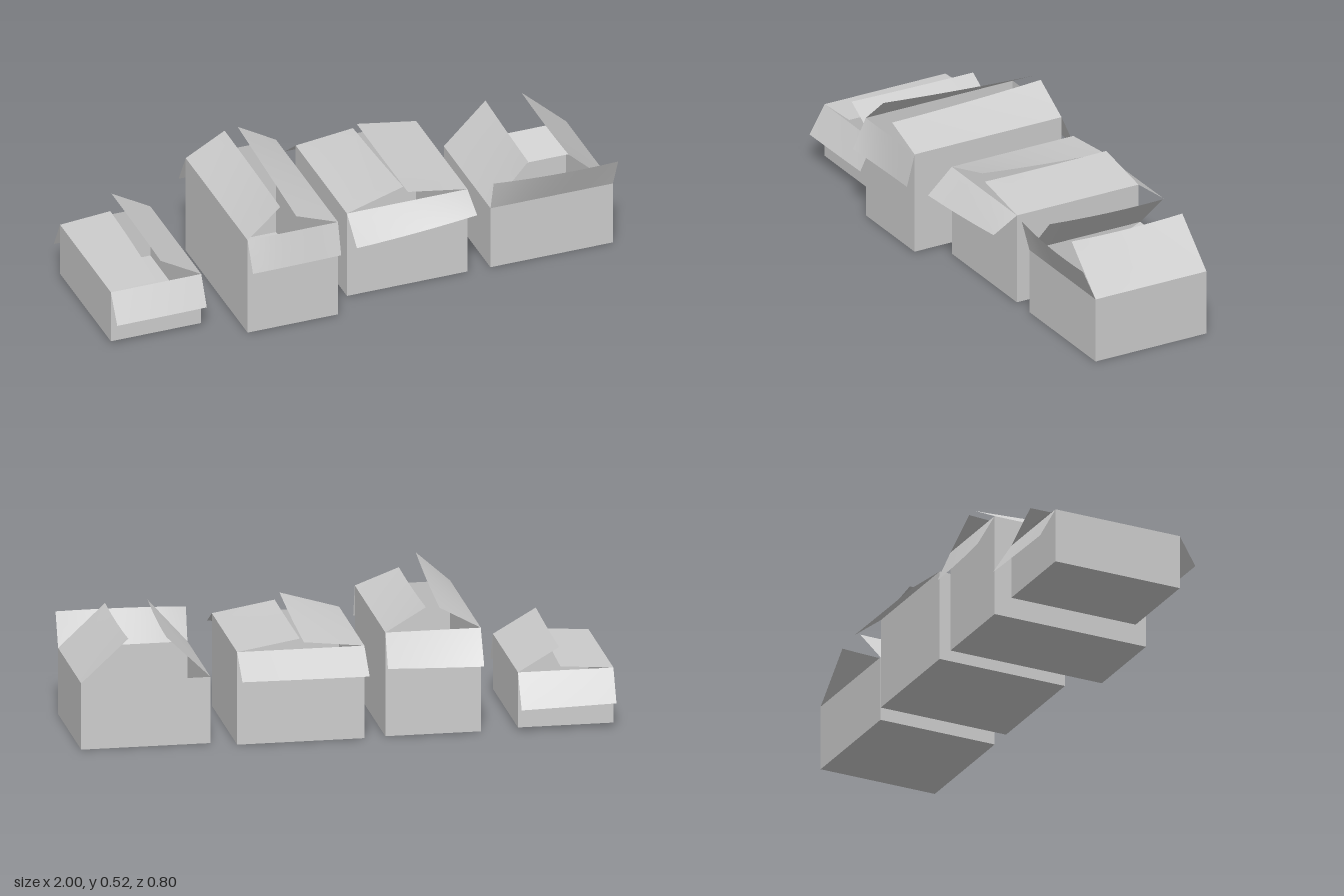
import * as THREE from 'three';

const card = new THREE.MeshStandardMaterial({ color: 0xcccccc, side: THREE.DoubleSide });

// Flap: straight hinge a-b, and a free edge bowed through three points
function makeFlap(name, a, b, tip) {
  const hingeA = new THREE.Vector3(...a), hingeB = new THREE.Vector3(...b);
  const [t0, t1, t2] = tip.map((p) => new THREE.Vector3(...p));
  const control = t1.clone().multiplyScalar(2).addScaledVector(t0, -0.5).addScaledVector(t2, -0.5);
  const edge = new THREE.QuadraticBezierCurve3(t0, control, t2);
  const geometry = new THREE.PlaneGeometry(1, 1, 8, 2);
  const pos = geometry.attributes.position, uv = geometry.attributes.uv;
  for (let i = 0; i < pos.count; i++) {
    const p = hingeA.clone().lerp(hingeB, uv.getX(i)).lerp(edge.getPoint(uv.getX(i)), uv.getY(i));
    pos.setXYZ(i, p.x, p.y, p.z);
  }
  geometry.computeVertexNormals();
  const mesh = new THREE.Mesh(geometry, card);
  mesh.name = name;
  return mesh;
}

// Box with its top face removed
function makeBody({ x, y, z }) {
  const geometry = new THREE.BoxGeometry(x[1] - x[0], y[1] - y[0], z[1] - z[0]);
  const index = Array.from(geometry.index.array);
  index.splice(12, 6);
  geometry.setIndex(index);
  geometry.clearGroups();
  geometry.translate((x[0] + x[1]) / 2, (y[0] + y[1]) / 2, (z[0] + z[1]) / 2);
  const mesh = new THREE.Mesh(geometry, card);
  mesh.name = 'boxBody';
  return mesh;
}

// Extents, then free edges. front/back: [y, z] at low x, middle, high x.
// low/high (side flaps on the -x and +x sides): [x, y] at back, middle, front.
const boxes = [
  {
    name: 'smallBox', x: [-1, -0.64], y: [0.012, 0.225], z: [-0.288, 0.23],
    front: [[0.116, 0.295], [0.114, 0.292], [0.112, 0.287]],
    back: [[0.105, -0.352], [0.102, -0.358], [0.1, -0.365]],
    low: [[-0.8, 0.24], [-0.808, 0.24], [-0.82, 0.235]],
    high: [[-0.795, 0.315], [-0.797, 0.316], [-0.802, 0.318]],
  },
  {
    name: 'tallBox', x: [-0.5, -0.14], y: [0.004, 0.405], z: [-0.286, 0.345],
    front: [[0.29, 0.4], [0.278, 0.38], [0.279, 0.378]],
    back: [[0.275, -0.358], [0.276, -0.347], [0.28, -0.34]],
    low: [[-0.345, 0.49], [-0.355, 0.503], [-0.37, 0.521]],
    high: [[-0.293, 0.495], [-0.298, 0.478], [-0.306, 0.467]],
  },
  {
    name: 'wideBox', x: [-0.06, 0.42], y: [0.002, 0.36], z: [-0.29, 0.232],
    front: [[0.267, 0.334], [0.277, 0.328], [0.303, 0.332]],
    back: [[0.272, -0.4], [0.273, -0.4], [0.275, -0.4]],
    low: [[0.168, 0.385], [0.167, 0.402], [0.165, 0.427]],
    high: [[0.183, 0.4], [0.183, 0.398], [0.183, 0.4]],
  },
  {
    name: 'openBox', x: [0.512, 1], y: [0, 0.256], z: [-0.244, 0.232],
    front: [[0.382, 0.265], [0.382, 0.288], [0.382, 0.286]],
    back: [[0.2, -0.108], [0.2, -0.108], [0.2, -0.108]],
    low: [[0.678, 0.418], [0.672, 0.416], [0.662, 0.425]],
    high: [[0.822, 0.42], [0.823, 0.414], [0.823, 0.421]],
  },
];

function makeBox(spec) {
  const group = new THREE.Group();
  group.name = spec.name;
  const [x0, x1] = spec.x, top = spec.y[1], [z0, z1] = spec.z;
  group.add(makeBody(spec));

  // End flaps
  for (const [side, z] of [['front', z1], ['back', z0]]) {
    const xs = [x0, (x0 + x1) / 2, x1];
    group.add(makeFlap(side + 'Flap', [x0, top, z], [x1, top, z],
      spec[side].map(([y, tz], i) => [xs[i], y, tz])));
  }

  // Side flaps
  for (const [side, x, name] of [['low', x0, 'rightFlap'], ['high', x1, 'leftFlap']]) {
    const zs = [z0, (z0 + z1) / 2, z1];
    group.add(makeFlap(name, [x, top, z0], [x, top, z1],
      spec[side].map(([tx, y], i) => [tx, y, zs[i]])));
  }
  return group;
}

export function createModel() {
  const model = new THREE.Group();
  model.name = 'openCartons';
  for (const spec of boxes) model.add(makeBox(spec));
  return model;
}
